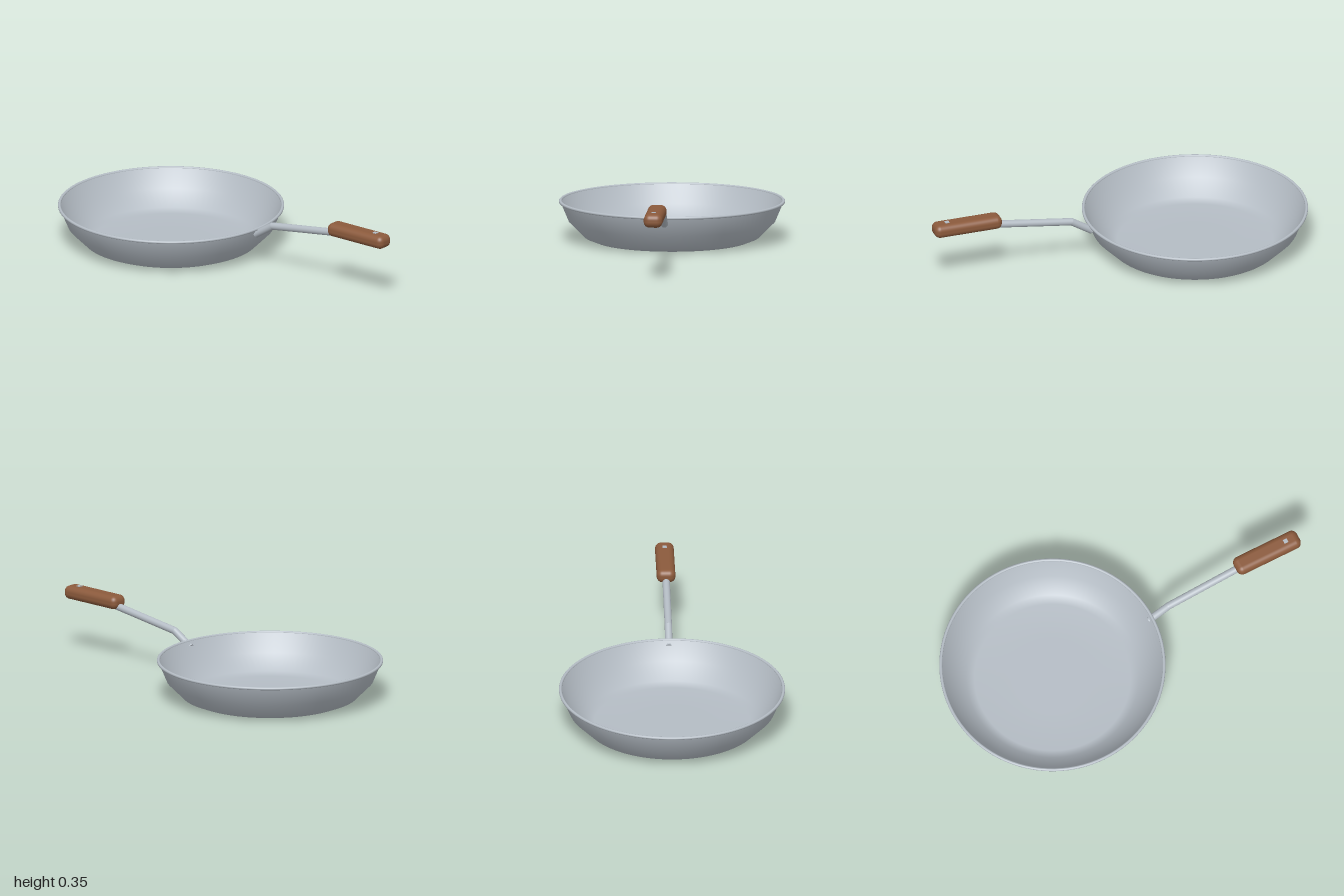
import * as THREE from 'three';
import { RoundedBoxGeometry } from 'three/addons/geometries/RoundedBoxGeometry.js';

const steel = new THREE.MeshStandardMaterial({ color: 0xb4bcc4 });
steel.name = 'steel';
const wood = new THREE.MeshStandardMaterial({ color: 0x8b5a3c });
wood.name = 'wood';

function part(name, geometry, material, x = 0, y = 0, z = 0) {
  const mesh = new THREE.Mesh(geometry, material);
  mesh.name = name;
  mesh.position.set(x, y, z);
  return mesh;
}

// Round bar between two points
function bar(name, a, b, radius) {
  const dir = b.clone().sub(a);
  const mesh = part(name, new THREE.CylinderGeometry(radius, radius, dir.length(), 24), steel);
  mesh.position.copy(a).add(b).multiplyScalar(0.5);
  mesh.quaternion.setFromUnitVectors(new THREE.Vector3(0, 1, 0), dir.normalize());
  return mesh;
}

export function createModel() {
  const model = new THREE.Group();
  model.name = 'fryingPan';
  const panX = -0.42;

  // Bowl: outside from the base up, then inside back down to the floor
  const profile = [
    [0, 0], [0.2, 0], [0.4, 0], [0.45, 0.02], [0.53, 0.1], [0.572, 0.2],
    [0.564, 0.2], [0.52, 0.104], [0.443, 0.028], [0.4, 0.012], [0.2, 0.012], [0, 0.012],
  ].map(([r, y]) => new THREE.Vector2(r, y));
  model.add(part('bowl', new THREE.LatheGeometry(profile, 96), steel, panX));

  // Rolled rim
  const rim = part('rim', new THREE.TorusGeometry(0.572, 0.008, 12, 96), steel, panX, 0.2);
  rim.rotation.x = Math.PI / 2;
  model.add(rim);

  // Bent handle rod
  const start = new THREE.Vector3(0.14, 0.168, 0);
  const bend = new THREE.Vector3(0.25, 0.236, 0);
  const end = new THREE.Vector3(0.72, 0.302, 0);
  const rod = new THREE.Group();
  rod.name = 'handleRod';
  rod.add(
    bar('lowerRod', start, bend, 0.019),
    bar('upperRod', bend, end, 0.019),
    part('rodBend', new THREE.SphereGeometry(0.019, 24, 16), steel, bend.x, bend.y, bend.z),
  );
  model.add(rod);

  // Wooden grip and its small metal stud
  model.add(part('grip', new RoundedBoxGeometry(0.364, 0.07, 0.096, 6, 0.03), wood, 0.818, 0.315));
  model.add(part('gripStud', new THREE.BoxGeometry(0.022, 0.006, 0.022), steel, 0.926, 0.35));

  return model;
}
